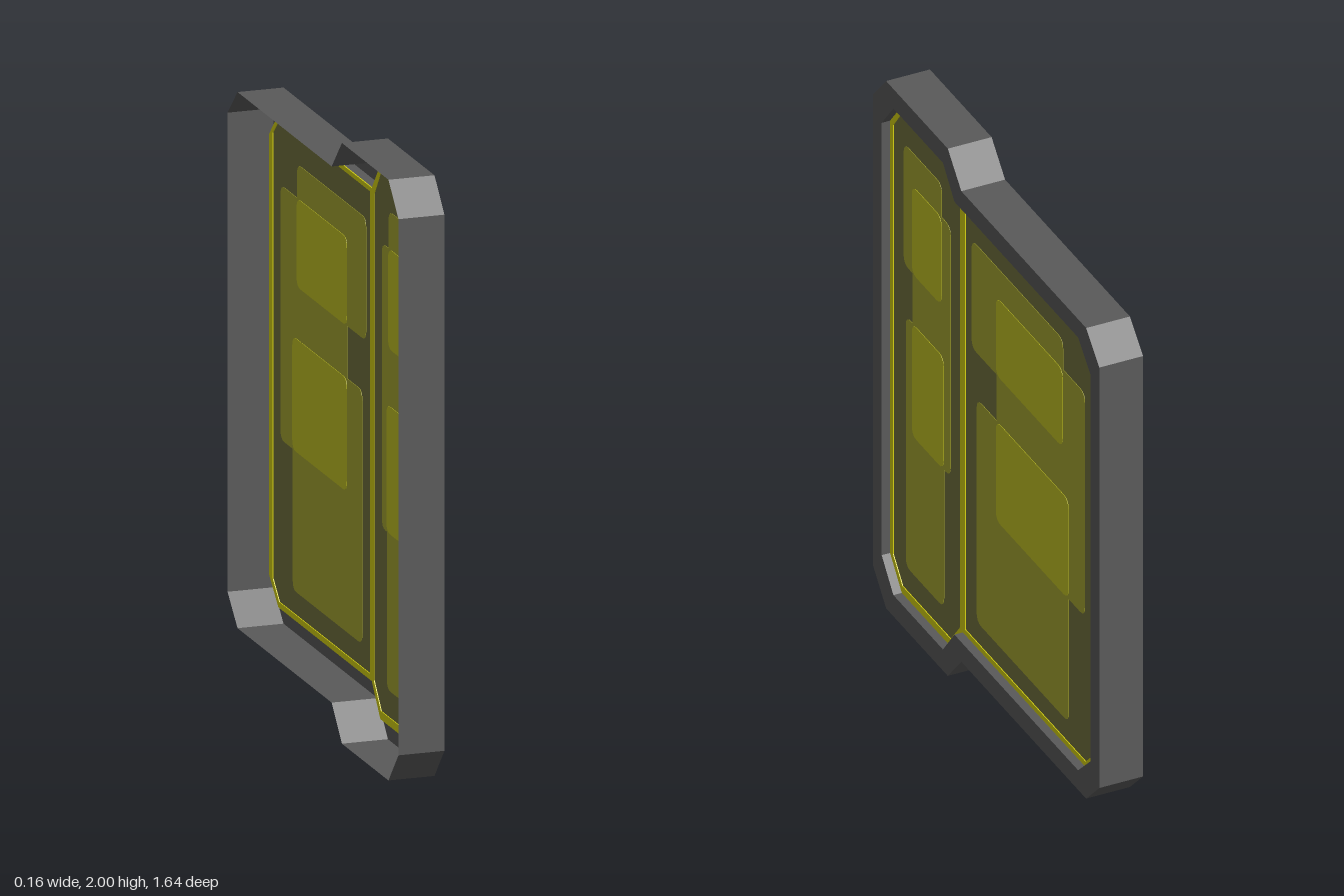
import * as THREE from 'three';

const flat = (name, color) => {
  const m = new THREE.MeshStandardMaterial({ color, side: THREE.DoubleSide });
  m.name = name;
  return m;
};

// Profiles are drawn as [u, y] with u = -z, counter-clockwise seen from +x
const OUTER = [
  [-0.726, 0], [-0.278, 0], [-0.18, 0.11], [0.726, 0.11], [0.822, 0.205], [0.822, 1.8],
  [0.726, 1.895], [-0.18, 1.895], [-0.278, 2], [-0.726, 2], [-0.822, 1.895], [-0.822, 0.11],
];
const INNER = [
  [-0.673, 0.08], [-0.313, 0.08], [-0.23, 0.184], [0.668, 0.184], [0.758, 0.27], [0.758, 1.735],
  [0.668, 1.826], [-0.23, 1.826], [-0.313, 1.926], [-0.673, 1.926], [-0.758, 1.823], [-0.758, 0.183],
];
// Openings of the two bays inside the bright trim
const NARROW_BAY = [
  [-0.668, 0.108], [-0.319, 0.108], [-0.25, 0.192], [-0.25, 1.812],
  [-0.319, 1.908], [-0.668, 1.908], [-0.737, 1.818], [-0.737, 0.19],
];
const WIDE_BAY = [
  [-0.214, 0.204], [0.66, 0.204], [0.722, 0.265], [0.722, 1.75], [0.66, 1.81], [-0.214, 1.81],
];
const PANEL_X = 0.044;

const toPoints = (list) => list.map(([u, y]) => new THREE.Vector2(u, y));

// Thin plate centred on the panel plane
function plate(shape, thickness) {
  const geo = new THREE.ExtrudeGeometry(shape, { depth: thickness, bevelEnabled: false, curveSegments: 4 });
  return geo.translate(0, 0, PANEL_X - thickness / 2);
}

// Folded sheet joining successive rings of equal point count
function sheet(rings) {
  const pos = [];
  for (let k = 0; k < rings.length - 1; k++) {
    const [p, xp] = rings[k], [q, xq] = rings[k + 1];
    for (let i = 0; i < p.length; i++) {
      const j = (i + 1) % p.length;
      const a = [...p[i], xp], b = [...p[j], xp], c = [...q[j], xq], d = [...q[i], xq];
      pos.push(...a, ...b, ...c, ...a, ...c, ...d);
    }
  }
  const geo = new THREE.BufferGeometry();
  geo.setAttribute('position', new THREE.Float32BufferAttribute(pos, 3));
  geo.computeVertexNormals();
  return geo;
}

// Rounded rectangle from its limits [u0, u1, y0, y1]
function roundedRect([u0, u1, y0, y1], r = 0.035) {
  const s = new THREE.Shape();
  s.moveTo(u0 + r, y0);
  s.lineTo(u1 - r, y0).quadraticCurveTo(u1, y0, u1, y0 + r);
  s.lineTo(u1, y1 - r).quadraticCurveTo(u1, y1, u1 - r, y1);
  s.lineTo(u0 + r, y1).quadraticCurveTo(u0, y1, u0, y1 - r);
  s.lineTo(u0, y0 + r).quadraticCurveTo(u0, y0, u0 + r, y0);
  return s;
}

const overlap = (a, b) => [
  Math.max(a[0], b[0]), Math.min(a[1], b[1]), Math.max(a[2], b[2]), Math.min(a[3], b[3]),
];

export function createModel() {
  const frameGrey = flat('frame grey', 0x5a5a5a);
  const darkOlive = flat('dark olive', 0x71713e);
  const midOlive = flat('mid olive', 0xa6a630);
  const brightOlive = flat('bright olive', 0xc1c123);
  const trimYellow = flat('trim yellow', 0xd6d210);

  const model = new THREE.Group();
  model.name = 'framedPanel';
  const body = new THREE.Group();
  body.name = 'panelAssembly';
  body.rotation.y = Math.PI / 2;
  model.add(body);

  const add = (name, geo, mat) => {
    const mesh = new THREE.Mesh(geo, mat);
    mesh.name = name;
    body.add(mesh);
  };

  // Open-backed frame: outer wall, front lip, inner wall
  add('frame', sheet([[OUTER, -0.078], [OUTER, 0.078], [INNER, 0.078], [INNER, PANEL_X]]), frameGrey);

  // Recessed panel and the bright trim around both bays
  add('panel', plate(new THREE.Shape(toPoints(INNER)), 0.002), darkOlive);
  const trim = new THREE.Shape(toPoints(INNER));
  trim.holes.push(new THREE.Path(toPoints(NARROW_BAY)), new THREE.Path(toPoints(WIDE_BAY)));
  add('trim', plate(trim, 0.008), trimYellow);

  // Each bay: three stacked patches, brighter where neighbours overlap
  const bays = {
    narrow: [[-0.663, -0.387, 1.335, 1.792], [-0.6, -0.323, 0.72, 1.668], [-0.647, -0.371, 0.196, 1.145]],
    wide: [[-0.17, 0.493, 1.3, 1.708], [0.01, 0.652, 0.748, 1.595], [-0.133, 0.535, 0.28, 1.125]],
  };
  for (const [bay, patches] of Object.entries(bays)) {
    patches.forEach((p, i) => {
      add(`${bay}Patch${i + 1}`, plate(roundedRect(p), 0.005), midOlive);
      if (i > 0) {
        add(`${bay}Highlight${i}`, plate(roundedRect(overlap(p, patches[i - 1])), 0.008), brightOlive);
      }
    });
  }
  return model;
}
